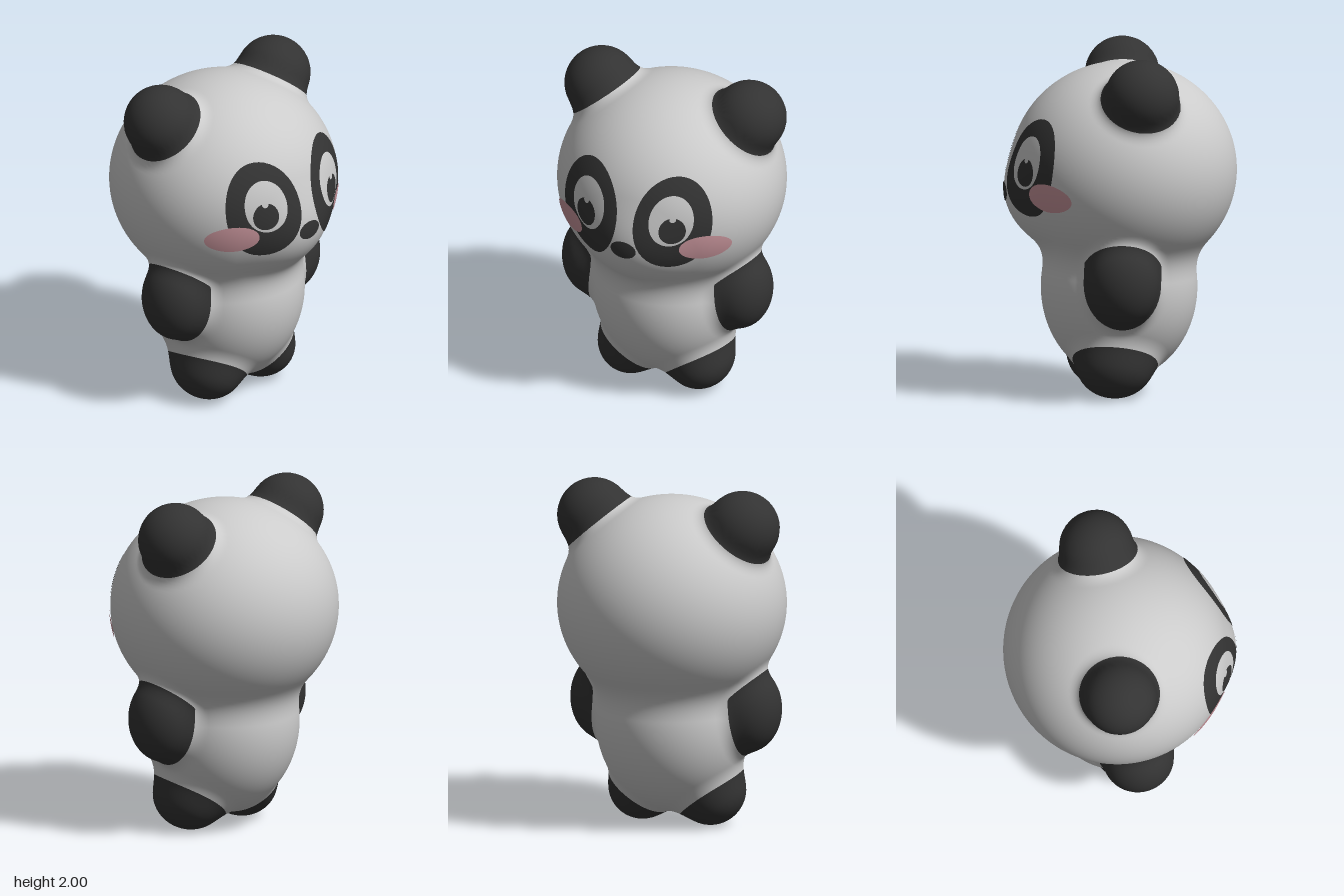
import * as THREE from 'three';

const GREY = 0xcccccc, DARK = 0x333333, PINK = 0xcb979e;
const V = (x, y, z) => new THREE.Vector3(x, y, z);

// Soft volumes: centre and radii
const head = { name: 'head', c: [0, 1.3, -0.015], r: [0.662, 0.622, 0.652], color: GREY };
const torso = { name: 'torso', c: [0, 0.62, 0.01], r: [0.45, 0.54, 0.45], color: GREY };
const muzzle = { c: [0, 1.17, 0.4], r: [0.24, 0.22, 0.24] };
const limbs = [];
for (const [side, s] of [['left', 1], ['right', -1]]) {
  limbs.push(
    { name: side + 'Ear', c: [s * 0.465, 1.785, -0.065], r: [0.215, 0.215, 0.215], color: DARK },
    { name: side + 'Arm', c: [s * 0.455, 0.7, 0.045], r: [0.19, 0.25, 0.205], color: DARK },
    { name: side + 'Foot', c: [s * 0.213, 0.2, 0.06], r: [0.197, 0.2, 0.225], color: DARK }
  );
}

// Approximate signed distance to an ellipsoid
function dist({ c, r }, p) {
  const x = (p.x - c[0]) / r[0], y = (p.y - c[1]) / r[1], z = (p.z - c[2]) / r[2];
  const k0 = Math.hypot(x, y, z);
  const k1 = Math.hypot(x / r[0], y / r[1], z / r[2]);
  return k1 < 1e-6 ? -Math.min(...r) : (k0 * (k0 - 1)) / k1;
}

function blend(a, b, k) {
  const h = Math.max(k - Math.abs(a - b), 0) / k;
  return Math.min(a, b) - (h * h * k) / 4;
}

const headDist = (p) => blend(dist(head, p), dist(muzzle, p), 0.16);

// The whole figure as one softly blended skin
function skin(p) {
  let d = blend(headDist(p), dist(torso, p), 0.12);
  for (const limb of limbs) d = blend(d, dist(limb, p), 0.09);
  return d;
}

function skinNormal(p) {
  const e = 0.002;
  const slope = (x, y, z) => skin(V(p.x + x, p.y + y, p.z + z)) - skin(V(p.x - x, p.y - y, p.z - z));
  return V(slope(e, 0, 0), slope(0, e, 0), slope(0, 0, e)).normalize();
}

// Walk inwards along a ray until the skin is met, then refine
function hitSkin(origin, dir, far) {
  const at = (t) => origin.clone().addScaledVector(dir, t);
  let hi = far;
  while (hi > 0.02 && skin(at(hi - 0.02)) > 0) hi -= 0.02;
  let lo = hi - 0.02;
  for (let i = 0; i < 14; i++) {
    const mid = (lo + hi) / 2;
    if (skin(at(mid)) > 0) hi = mid; else lo = mid;
  }
  return at(hi);
}

// Rings of skin points: a dome of rays, a column of level rays, a bowl of rays
function skinTriangles() {
  const rays = [], top = 1.3, low = 0.55, n = 56, cols = 144;
  for (let i = 0; i <= n; i++) rays.push([top, Math.PI / 2 * (1 - i / n)]);
  for (let i = 1; i < n; i++) rays.push([top + (low - top) * i / n, 0]);
  for (let i = 0; i <= n; i++) rays.push([low, -Math.PI / 2 * i / n]);
  const rings = rays.map(([y, tilt]) => {
    const ring = [];
    for (let j = 0; j < cols; j++) {
      const a = (j / cols) * Math.PI * 2, c = Math.cos(tilt);
      ring.push(hitSkin(V(0, y, 0), V(Math.sin(a) * c, Math.sin(tilt), Math.cos(a) * c), 1));
    }
    return ring;
  });
  const tris = [];
  for (let i = 0; i < rings.length - 1; i++) {
    for (let j = 0; j < cols; j++) {
      const k = (j + 1) % cols;
      const a = rings[i][j], b = rings[i][k], c = rings[i + 1][j], d = rings[i + 1][k];
      if (i < rings.length - 2) tris.push([a, c, d]);
      if (i > 0) tris.push([a, d, b]);
    }
  }
  return tris;
}

// Cut triangles along f = 0; returns those inside (f < 0) and outside
function split(tris, f) {
  const inside = [], outside = [];
  const fan = (list, poly) => {
    for (let i = 1; i < poly.length - 1; i++) list.push([poly[0], poly[i], poly[i + 1]]);
  };
  for (const tri of tris) {
    const v = tri.map(f), polyIn = [], polyOut = [];
    for (let i = 0; i < 3; i++) {
      const j = (i + 1) % 3;
      (v[i] < 0 ? polyIn : polyOut).push(tri[i]);
      if ((v[i] < 0) !== (v[j] < 0)) {
        const cut = tri[i].clone().lerp(tri[j], v[i] / (v[i] - v[j]));
        polyIn.push(cut);
        polyOut.push(cut);
      }
    }
    fan(inside, polyIn);
    fan(outside, polyOut);
  }
  return [inside, outside];
}

function makeMesh(name, tris, color) {
  const points = tris.flat();
  const geo = new THREE.BufferGeometry().setFromPoints(points);
  const normals = points.flatMap((p) => skinNormal(p).toArray());
  geo.setAttribute('normal', new THREE.Float32BufferAttribute(normals, 3));
  const mesh = new THREE.Mesh(geo, new THREE.MeshStandardMaterial({ color }));
  mesh.name = name;
  return mesh;
}

// Oval face marking wrapped onto the front of the head
function marking(name, x, y, rx, ry, color, lift) {
  const rows = 10, cols = 48, tris = [];
  const point = (i, j) => {
    const a = (j / cols) * Math.PI * 2, s = i / rows;
    const p = hitSkin(V(x + Math.cos(a) * rx * s, y + Math.sin(a) * ry * s, 0), V(0, 0, 1), 0.9);
    return p.addScaledVector(skinNormal(p), lift);
  };
  const grid = [];
  for (let i = 0; i <= rows; i++) {
    grid.push(Array.from({ length: cols }, (_, j) => point(i, j)));
  }
  for (let i = 0; i < rows; i++) {
    for (let j = 0; j < cols; j++) {
      const k = (j + 1) % cols;
      tris.push([grid[i][j], grid[i + 1][j], grid[i + 1][k]]);
      if (i > 0) tris.push([grid[i][j], grid[i + 1][k], grid[i][k]]);
    }
  }
  return makeMesh(name, tris, color);
}

export function createModel() {
  const model = new THREE.Group();
  model.name = 'pandaFigure';

  // Ears, arms and feet are cut out of the skin where they outgrow head and torso
  let rest = skinTriangles();
  for (const limb of limbs) {
    const [part, others] = split(rest, (p) => dist(limb, p) - Math.min(headDist(p), dist(torso, p)));
    model.add(makeMesh(limb.name, part, limb.color));
    rest = others;
  }
  const [headPart, torsoPart] = split(rest, (p) => headDist(p) - dist(torso, p));
  model.add(makeMesh(head.name, headPart, head.color), makeMesh(torso.name, torsoPart, torso.color));

  // Face
  const face = new THREE.Group();
  face.name = 'face';
  for (const [side, s] of [['left', 1], ['right', -1]]) {
    face.add(
      marking(side + 'EyePatch', s * 0.257, 1.353, 0.205, 0.28, DARK, 0.003),
      marking(side + 'EyeWhite', s * 0.257, 1.383, 0.118, 0.152, GREY, 0.005),
      marking(side + 'Pupil', s * 0.268, 1.328, 0.07, 0.08, DARK, 0.007),
      marking(side + 'EyeGlint', s * 0.268, 1.402, 0.018, 0.02, GREY, 0.009),
      marking(side + 'Cheek', s * 0.42, 1.2, 0.118, 0.082, PINK, 0.007)
    );
  }
  face.add(marking('nose', 0, 1.185, 0.078, 0.055, DARK, 0.005));
  model.add(face);
  return model;
}
